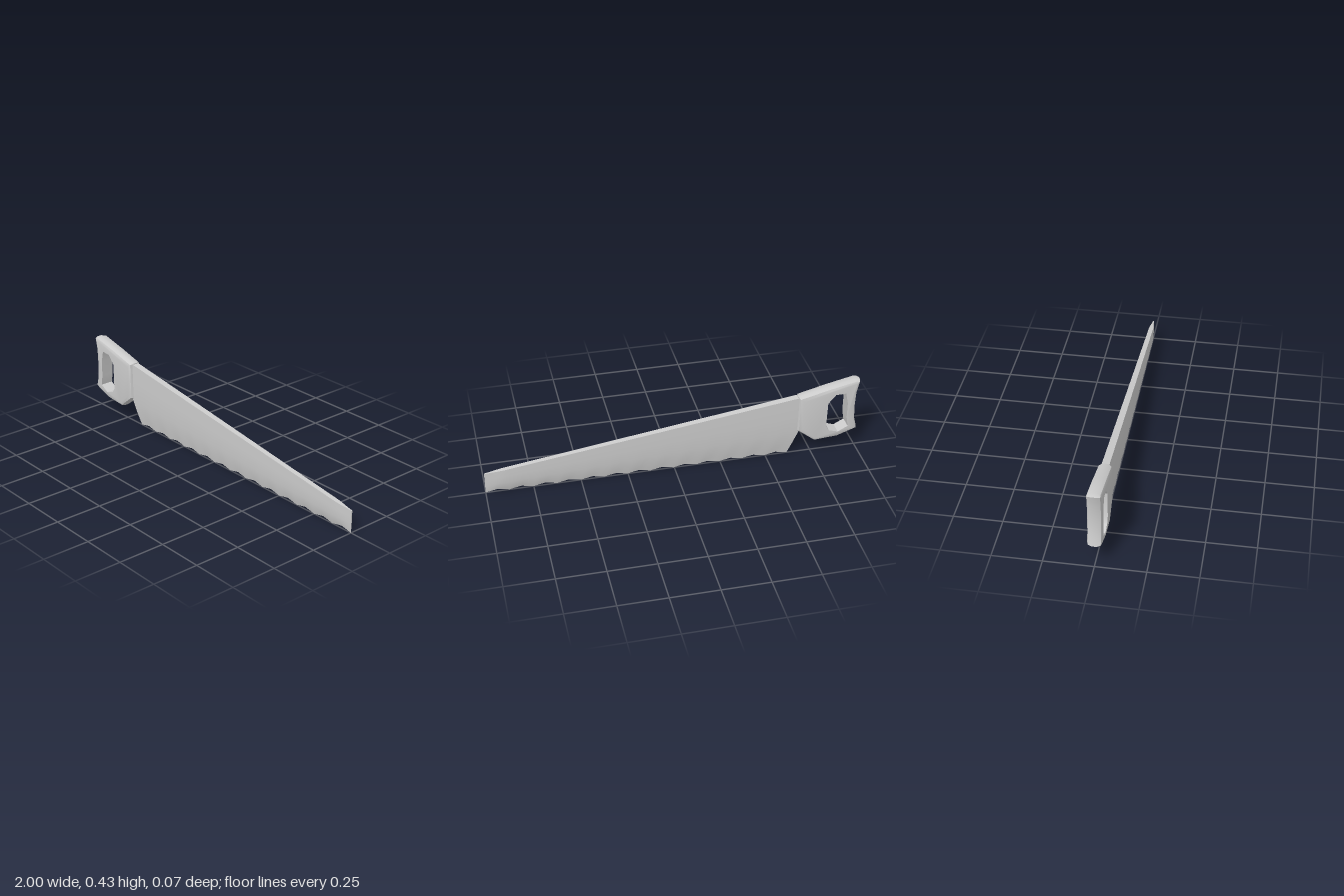
import * as THREE from 'three';
import { toCreasedNormals } from 'three/addons/utils/BufferGeometryUtils.js';

function toMesh(name, points, index, crease) {
  const geo = new THREE.BufferGeometry();
  geo.setAttribute('position', new THREE.Float32BufferAttribute(points.flat(), 3));
  geo.setIndex(index);
  const mesh = new THREE.Mesh(toCreasedNormals(geo, crease),
    new THREE.MeshStandardMaterial({ color: 0xcccccc }));
  mesh.name = name;
  return mesh;
}

// Handle: outline with rounded rim, straight-walled grip hole.
function makeHandle() {
  // counter-clockwise: x, y, rim rounding factor
  const outline = [
    [-0.663, 0.155, 1.7], [-0.666, 0.362, 1.5], [-0.82, 0.398, 1], [-0.975, 0.432, 1],
    [-1, 0.427, 1], [-0.985, 0.36, 1], [-0.981, 0.27, 1], [-0.985, 0.19, 1],
    [-1, 0.13, 1], [-0.89, 0.09, 1], [-0.76, 0.08, 1.1],
  ];
  // clockwise
  const hole = [
    [-0.92, 0.362], [-0.865, 0.36], [-0.825, 0.312], [-0.822, 0.17], [-0.84, 0.14],
    [-0.89, 0.124], [-0.944, 0.153], [-0.934, 0.21], [-0.934, 0.3],
  ].map(([x, y]) => new THREE.Vector2(x, y));
  const n = outline.length, m = hole.length;

  const inset = (d) => outline.map(([x, y, f], i) => {
    const p = outline[(i + n - 1) % n], q = outline[(i + 1) % n];
    const a = new THREE.Vector2(p[1] - y, x - p[0]).normalize();
    const b = new THREE.Vector2(y - q[1], q[0] - x).normalize();
    const miter = a.clone().add(b).divideScalar(1 + a.dot(b));
    return new THREE.Vector2(x, y).addScaledVector(miter, d * f);
  });

  const levels = [[-0.036, 0.017], [-0.031, 0.006], [-0.012, 0],
    [0.012, 0], [0.031, 0.006], [0.036, 0.017]];
  const points = [], index = [];
  for (const [z, d] of levels) {
    for (const p of [...inset(d), ...hole]) points.push([p.x, p.y, z]);
  }
  const row = n + m;
  const wall = (l, start, count) => {
    for (let i = 0; i < count; i++) {
      const a = l * row + start + i, b = l * row + start + (i + 1) % count;
      index.push(a, b, b + row, a, b + row, a + row);
    }
  };
  for (let l = 0; l < levels.length - 1; l++) {
    wall(l, 0, n);
    wall(l, n, m);
  }
  // flat side faces
  const last = (levels.length - 1) * row;
  for (const [a, b, c] of THREE.ShapeUtils.triangulateShape(inset(levels[0][1]), [hole])) {
    index.push(last + a, last + b, last + c, c, b, a);
  }
  return toMesh('handle', points, index, 0.6);
}

// Blade: thick spine, sharp scalloped edge, thin tip.
function makeBlade() {
  const rows = [0, 0.08, 0.2, 0.4, 0.7, 1];             // height fractions
  const thickness = [0, 0.25, 0.58, 0.95, 1.05, 1];     // share of the spine thickness
  const scallop = [0, 0.007, 0.013, 0.007];
  const teeth = 13, cols = teeth * 4, top = rows.length - 1, ring = top * 2 + 1;
  const points = [], index = [];

  for (let i = 0; i <= cols; i++) {
    const u = i / cols;
    const half = THREE.MathUtils.lerp(0.019, 0.012, u)
      * THREE.MathUtils.lerp(1, 0.25, THREE.MathUtils.smoothstep(u, 0.94, 1));
    const front = rows.map((v, j) => {
      // the heel slants from the handle notch down to the first tooth
      const left = THREE.MathUtils.lerp(-0.62, -0.675, Math.min(v / 0.4, 1));
      const x = THREE.MathUtils.lerp(left, 1, u);
      const spine = THREE.MathUtils.lerp(0.358, 0.125, u);
      const y = 0.005 + v * (spine - 0.005) + (1 - v) ** 3 * scallop[i % 4];
      return [x, y, half * thickness[j]];
    });
    const back = front.slice(1).reverse().map(([x, y, z]) => [x, y, -z]);
    points.push(...front, ...back);
  }
  for (let i = 0; i < cols; i++) {
    for (let j = 0; j < ring; j++) {
      const a = i * ring + j, d = i * ring + (j + 1) % ring;
      index.push(a, a + ring, d + ring, a, d + ring, d);
    }
  }
  // heel and tip ends
  const tip = cols * ring;
  for (let j = 0; j < top; j++) {
    const a = j, b = j + 1, c = ring - j - 1, d = (ring - j) % ring;
    index.push(a, b, c, tip + a, tip + c, tip + b);
    if (j > 0) index.push(a, c, d, tip + a, tip + d, tip + c);
  }
  return toMesh('blade', points, index, 0.6);
}

export function createModel() {
  const saw = new THREE.Group();
  saw.name = 'handSaw';
  saw.add(makeHandle(), makeBlade());
  return saw;
}
